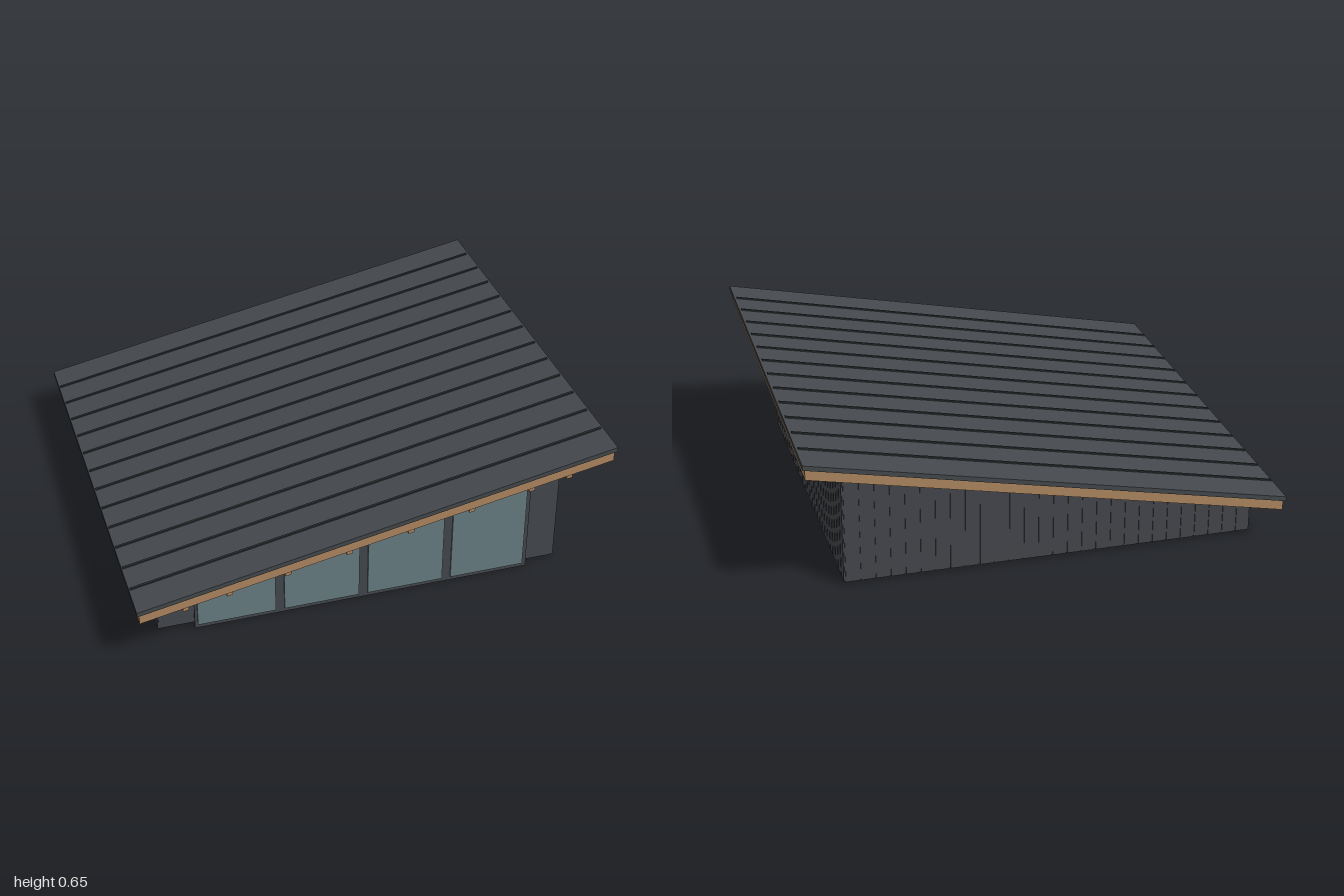
import * as THREE from 'three';

const mat = (name, color) => {
  const m = new THREE.MeshStandardMaterial({ color });
  m.name = name;
  return m;
};

// Height of the sloping roof surface, high on +x and slightly higher at the front
const roofY = (x, z) => 0.429 + 0.197 * x + 0.03 * z;
const below = (d) => (x, z) => roofY(x, z) - d;
const level = (y) => () => y;

// Box whose top and bottom faces follow height functions
function slab(x0, x1, z0, z1, bottom, top) {
  const g = new THREE.BoxGeometry(1, 1, 1).toNonIndexed();
  const p = g.attributes.position;
  for (let i = 0; i < p.count; i++) {
    const x = p.getX(i) < 0 ? x0 : x1;
    const z = p.getZ(i) < 0 ? z0 : z1;
    p.setXYZ(i, x, (p.getY(i) < 0 ? bottom : top)(x, z), z);
  }
  g.computeVertexNormals();
  return g;
}

export function createModel() {
  const roofMetal = mat('roof metal', 0x45494d);
  const seamMetal = mat('seam metal', 0x2f3235);
  const siding = mat('dark siding', 0x44474c);
  const wood = mat('timber', 0xae875f);
  const frameMetal = mat('frame metal', 0x42464b);
  const glass = mat('glass', 0x687d82);

  const model = new THREE.Group();
  model.name = 'cabin';
  const add = (name, material, ...dims) => {
    const mesh = new THREE.Mesh(slab(...dims), material);
    mesh.name = name;
    model.add(mesh);
  };

  // Roof: metal sheet over a timber deck
  add('roofSheet', roofMetal, -1, 1, -0.944, 0.944, below(0.02), below(0));
  add('roofDeck', wood, -0.99, 0.99, -0.935, 0.937, below(0.064), below(0.02));

  // Standing seams
  for (let i = 0; i < 12; i++) {
    const z = -0.795 + 0.144 * i;
    add('roofSeam', seamMetal, -0.995, 0.99, z - 0.005, z + 0.005, below(0.001), below(-0.006));
  }

  // Rafter tails under the front overhang
  for (const x of [-0.8, -0.62, -0.38, -0.125, 0.133, 0.39, 0.645, 0.805]) {
    add('rafterTail', wood, x - 0.012, x + 0.012, 0.76, 0.93, below(0.084), below(0.06));
  }

  // Walled body, with its top running into the roof
  add('walls', siding, -0.886, 0.832, -0.831, 0.775, level(0.015), below(0.062));

  // Shallow boards on the side and back walls
  const n = 28;
  for (let i = 0; i < n; i++) {
    const x = -0.886 + (1.718 * (i + 0.5)) / n;
    add('backBoard', siding, x - 0.026, x + 0.026, -0.835, -0.83, level(0.015), below(0.063));
    const z = -0.831 + (1.606 * (i + 0.5)) / n;
    add('leftBoard', siding, 0.83, 0.835, z - 0.025, z + 0.025, level(0.015), below(0.063));
    add('rightBoard', siding, -0.89, -0.885, z - 0.025, z + 0.025, level(0.015), below(0.063));
  }

  // Sloping window frame standing just in front of the wall
  const slope = (y) => (x) => y + 0.198 * x;
  add('windowFrame', frameMetal, -0.74, 0.7, 0.789, 0.797, level(0), slope(0.362));

  // Four panes
  for (const [x0, x1] of [[-0.728, -0.4], [-0.362, -0.042], [-0.004, 0.322], [0.36, 0.682]]) {
    add('windowPane', glass, x0, x1, 0.797, 0.804, level(0.02), slope(0.347));
  }

  return model;
}
